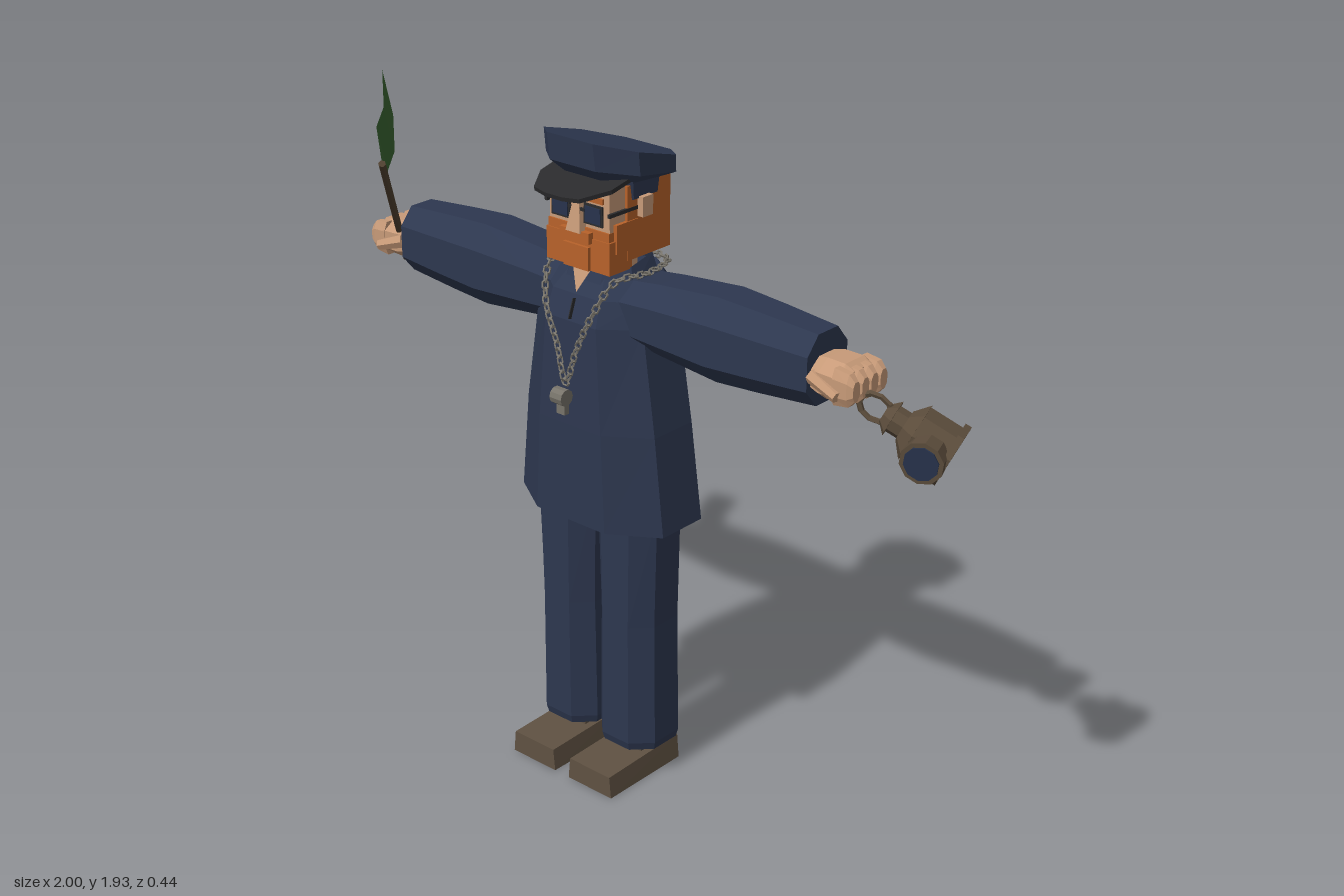
import * as THREE from 'three';

const mat = (name, color) => {
  const m = new THREE.MeshStandardMaterial({ color, flatShading: true, side: THREE.DoubleSide });
  m.name = name;
  return m;
};

// Eight-sided ring: y, centre x, front z, back z, half width, tilt (front up)
function ring(y, cx, front, back, hx, tilt = 0) {
  const cz = (front + back) / 2, hz = (front - back) / 2, c = 0.48;
  return [[1, -c], [1, c], [c, 1], [-c, 1], [-1, c], [-1, -c], [-c, -1], [c, -1]]
    .map(([x, z]) => [cx + x * hx, y + z * tilt, cz + z * hz]);
}

// Skin a stack of rings, with optional end caps
function loft(rings, caps = true) {
  const n = rings[0].length, idx = [], pos = rings.flat(2);
  for (let i = 0; i < rings.length - 1; i++) {
    for (let j = 0; j < n; j++) {
      const a = i * n + j, b = i * n + (j + 1) % n;
      idx.push(a, a + n, b, b, a + n, b + n);
    }
  }
  if (caps) {
    const t = (rings.length - 1) * n;
    for (let j = 1; j < n - 1; j++) idx.push(0, j, j + 1, t, t + j + 1, t + j);
  }
  const g = new THREE.BufferGeometry();
  g.setAttribute('position', new THREE.Float32BufferAttribute(pos, 3));
  g.setIndex(idx);
  const flat = g.toNonIndexed();
  flat.computeVertexNormals();
  return flat;
}

function add(parent, name, geo, material, x = 0, y = 0, z = 0) {
  const m = new THREE.Mesh(geo, material);
  m.name = name;
  m.position.set(x, y, z);
  parent.add(m);
  return m;
}

// Box given by its lower and upper limits
const box = (parent, name, m, x0, x1, y0, y1, z0, z1) =>
  add(parent, name, new THREE.BoxGeometry(x1 - x0, y1 - y0, z1 - z0), m, (x0 + x1) / 2, (y0 + y1) / 2, (z0 + z1) / 2);

// Tapered rod between two points
function rod(parent, name, m, a, b, r0, r1 = r0) {
  const A = new THREE.Vector3(...a), B = new THREE.Vector3(...b), d = B.clone().sub(A);
  const o = add(parent, name, new THREE.CylinderGeometry(r1, r0, d.length(), 6), m);
  o.position.copy(A).addScaledVector(d, 0.5);
  o.quaternion.setFromUnitVectors(new THREE.Vector3(0, 1, 0), d.normalize());
  return o;
}

export function createModel() {
  const root = new THREE.Group();
  const navy = mat('navy cloth', 0x2d374f), skin = mat('skin', 0xc79a78), orange = mat('ginger hair', 0xb8622a);
  const leather = mat('brown leather', 0x5f5142), black = mat('black', 0x2b2b2d), green = mat('flag green', 0x37602f);
  const steel = mat('chain steel', 0x77736a), glass = mat('dark glass', 0x28334c), wood = mat('dark wood', 0x4f4030);
  const lampMetal = mat('lantern metal', 0x5b4c3b);

  const man = new THREE.Group();
  man.name = 'man';
  man.position.x = -0.125;
  root.add(man);

  // Coat and collar
  add(man, 'coat', loft([ring(0.81, 0, 0.11, -0.225, 0.265), ring(1.1, 0, 0.108, -0.21, 0.235), ring(1.4, 0, 0.1, -0.2, 0.19),
    ring(1.47, 0, 0.075, -0.2, 0.178), ring(1.52, 0, 0.035, -0.175, 0.135)]), navy);
  add(man, 'collar', loft([ring(1.49, 0, 0.06, -0.17, 0.135, -0.01), ring(1.56, 0, 0.03, -0.145, 0.115, -0.02)], false), navy);
  add(man, 'neck', loft([ring(1.47, 0, 0.02, -0.12, 0.075), ring(1.6, 0, 0.02, -0.12, 0.075)]), skin);
  const vee = new THREE.Shape([new THREE.Vector2(-0.033, 0.06), new THREE.Vector2(0, -0.01), new THREE.Vector2(0.033, 0.06)]);
  add(man, 'openNeck', new THREE.ShapeGeometry(vee), skin, 0, 1.485, 0.073).rotation.x = -0.35;
  box(man, 'coatSeam', black, -0.0015, 0.0015, 1.405, 1.462, 0.083, 0.099).rotation.x = -0.35;

  for (const s of [1, -1]) {
    const side = s > 0 ? 'left' : 'right';
    // Trousers, ankles and shoes
    add(man, side + 'Trouser', loft([ring(0.095, s * 0.112, 0.045, -0.155, 0.098), ring(0.12, s * 0.112, 0.052, -0.162, 0.104),
      ring(0.5, s * 0.113, 0.052, -0.155, 0.1), ring(0.86, s * 0.115, 0.055, -0.15, 0.11)]), navy);
    box(man, side + 'Ankle', leather, s * 0.11 - 0.055, s * 0.11 + 0.055, 0.06, 0.11, -0.13, 0);
    const shoe = box(man, side + 'Shoe', leather, s * 0.11 - 0.083, s * 0.11 + 0.083, 0, 0.075, -0.137, 0.16);
    const p = shoe.geometry.attributes.position;
    for (let i = 0; i < p.count; i++) {
      if (p.getY(i) > 0) {
        p.setX(i, p.getX(i) * 0.92);
        if (p.getZ(i) > 0) p.setY(i, p.getY(i) - 0.008);
      }
    }
    // Sleeve and hand, built upright and then turned outwards
    const arm = new THREE.Group();
    arm.name = side + 'Arm';
    arm.position.y = 1.428;
    arm.rotation.z = -s * Math.PI / 2;
    man.add(arm);
    add(arm, 'sleeve', loft([ring(0.1, 0, 0.045, -0.165, 0.085), ring(0.22, 0, 0.045, -0.165, 0.1),
      ring(0.42, 0, 0.05, -0.165, 0.118), ring(0.56, 0, 0.04, -0.155, 0.11), ring(0.735, 0, 0.025, -0.14, 0.097)]), navy);
    const dn = s * 0.012;
    add(arm, 'palm', loft([ring(0.71, dn, 0.0, -0.11, 0.045), ring(0.765, dn, 0.02, -0.13, 0.056),
      ring(0.82, dn, 0.022, -0.135, 0.054), ring(0.845, dn, 0.015, -0.13, 0.04)]), skin);
    for (let f = 0; f < 4; f++) {
      const z = -0.112 + f * 0.038;
      add(arm, 'finger', loft([ring(0.81, dn, z + 0.021, z - 0.021, 0.05), ring(0.855, dn, z + 0.02, z - 0.02, 0.044),
        ring(0.872, dn, z + 0.014, z - 0.014, 0.026)]), skin);
    }
    rod(arm, 'thumb', skin, [dn - s * 0.01, 0.74, 0.01], [dn + s * 0.02, 0.83, 0.025], 0.022, 0.016);
    // Ear, sideburn, spectacle lens and temple
    box(man, side + 'Ear', skin, s * 0.122 - 0.012, s * 0.122 + 0.012, 1.685, 1.74, -0.08, -0.04);
    box(man, side + 'Sideburn', orange, s * 0.106 - 0.012, s * 0.106 + 0.012, 1.6, 1.68, -0.04, 0.045);
    box(man, side + 'LensFrame', black, s * 0.058 - 0.033, s * 0.058 + 0.033, 1.674, 1.73, 0.066, 0.071);
    box(man, side + 'Lens', glass, s * 0.058 - 0.027, s * 0.058 + 0.027, 1.68, 1.724, 0.07, 0.074);
    box(man, side + 'Temple', black, s * 0.112 - 0.004, s * 0.112 + 0.004, 1.705, 1.715, -0.05, 0.07);
    box(man, side + 'Brow', orange, s * 0.058 - 0.03, s * 0.058 + 0.03, 1.735, 1.75, 0.055, 0.067);
  }

  // Head
  box(man, 'hair', orange, -0.115, 0.115, 1.57, 1.775, -0.17, 0);
  box(man, 'face', skin, -0.107, 0.107, 1.62, 1.775, -0.02, 0.06);
  box(man, 'beard', orange, -0.113, 0.113, 1.545, 1.635, -0.02, 0.068);
  box(man, 'cheekBeard', orange, -0.108, 0.108, 1.63, 1.66, -0.02, 0.065);
  box(man, 'chin', orange, -0.045, 0.045, 1.545, 1.61, 0.06, 0.077);
  box(man, 'moustache', orange, -0.052, 0.052, 1.622, 1.652, 0.06, 0.082);
  box(man, 'spectacleBridge', black, -0.03, 0.03, 1.706, 1.714, 0.068, 0.074);
  const nose = new THREE.CylinderGeometry(0.015, 0.036, 0.085, 4).rotateY(Math.PI / 4);
  add(man, 'nose', nose, skin, 0, 1.69, 0.062);

  // Cap
  add(man, 'capBand', loft([ring(1.735, 0, 0.03, -0.165, 0.119), ring(1.8, 0, 0.045, -0.18, 0.122)]), navy);
  add(man, 'capCrown', loft([ring(1.782, 0, 0.045, -0.195, 0.13, 0.008), ring(1.806, 0, 0.085, -0.208, 0.168, 0.022),
    ring(1.862, 0, 0.095, -0.21, 0.168, 0.042)]), navy);
  const peak = new THREE.Shape([[-0.128, -0.02], [0.128, -0.02], [0.126, 0.05], [0.08, 0.125], [0.03, 0.137],
    [-0.03, 0.137], [-0.08, 0.125], [-0.126, 0.05]].map(([x, y]) => new THREE.Vector2(x, y)));
  const visor = new THREE.ExtrudeGeometry(peak, { depth: 0.012, bevelEnabled: false });
  add(man, 'capVisor', visor, black, 0, 1.797, 0.025).rotation.x = Math.PI / 2 + 0.22;

  // Whistle on a chain of links
  const half = [[0.035, 1.33, 0.116], [0.085, 1.44, 0.105], [0.118, 1.525, 0.055], [0.145, 1.532, -0.05], [0.115, 1.53, -0.16], [0.05, 1.525, -0.19]];
  const mirrored = half.map(([x, y, z]) => [-x, y, z]).reverse();
  const path = new THREE.CatmullRomCurve3([[0, 1.23, 0.122], ...half, ...mirrored].map(p => new THREE.Vector3(...p)), true);
  const link = new THREE.TorusGeometry(0.0095, 0.0033, 4, 6).scale(1.35, 1, 1);
  const count = 66;
  const chain = new THREE.Group();
  chain.name = 'chain';
  man.add(chain);
  for (let i = 0; i < count; i++) {
    const l = add(chain, 'link', link, steel);
    l.position.copy(path.getPointAt(i / count));
    l.quaternion.setFromUnitVectors(new THREE.Vector3(1, 0, 0), path.getTangentAt(i / count));
    l.rotateX((i % 2) * Math.PI / 2);
  }
  add(man, 'whistleBarrel', new THREE.CylinderGeometry(0.024, 0.024, 0.042, 10).rotateZ(Math.PI / 2), steel, 0, 1.195, 0.14);
  box(man, 'whistleMouthpiece', steel, -0.015, 0.015, 1.143, 1.195, 0.125, 0.143);

  // Signal flag
  const foot = [-0.965, 1.325, -0.085], tip = [-0.72, 1.735, 0.21];
  rod(root, 'flagPole', wood, foot, tip, 0.011);
  const wave = [[0, 0, 0], [-0.055, 0.085, -0.035], [-0.122, 0.108, -0.125], [-0.16, 0.2, -0.16]];
  const rows = [0.56, 1].map(t => wave.map(w => w.map((v, k) => foot[k] + (tip[k] - foot[k]) * t + v)));
  const cloth = new THREE.BufferGeometry();
  cloth.setAttribute('position', new THREE.Float32BufferAttribute(rows.flat(2), 3));
  cloth.setIndex([0, 1, 2].flatMap(i => [i, i + 4, i + 1, i + 1, i + 4, i + 5]));
  cloth.computeVertexNormals();
  add(root, 'flagCloth', cloth, green);

  // Hand lantern, upright in its own group with the lens facing its front
  const lantern = new THREE.Group();
  lantern.name = 'lantern';
  const up = new THREE.Vector3(-0.225, 0.115, 0.08).normalize();
  const right = up.clone().cross(new THREE.Vector3(0.2, 0, 1)).normalize();
  lantern.quaternion.setFromRotationMatrix(new THREE.Matrix4().makeBasis(right, up, right.clone().cross(up)));
  lantern.position.set(0.96, 1.265, -0.12);
  root.add(lantern);
  const drum = (name, r0, r1, y0, y1) =>
    add(lantern, name, new THREE.CylinderGeometry(r1, r0, y1 - y0, 8).rotateY(Math.PI / 8), lampMetal, 0, (y0 + y1) / 2, 0);
  drum('lanternBase', 0.086, 0.086, 0, 0.018);
  drum('lanternBody', 0.074, 0.074, 0.018, 0.11);
  drum('lanternShoulder', 0.08, 0.042, 0.11, 0.142);
  drum('lanternChimney', 0.037, 0.037, 0.142, 0.175);
  drum('lanternCap', 0.05, 0.025, 0.175, 0.2);
  add(lantern, 'lensHousing', new THREE.CylinderGeometry(0.058, 0.055, 0.055, 10).rotateX(Math.PI / 2), lampMetal, 0, 0.055, 0.08);
  add(lantern, 'lens', new THREE.CylinderGeometry(0.046, 0.046, 0.006, 10).rotateX(Math.PI / 2), glass, 0, 0.055, 0.109);
  add(lantern, 'lanternHandle', new THREE.TorusGeometry(0.036, 0.008, 5, 10).scale(1, 1.25, 1), lampMetal, 0, 0.226, 0);

  return root;
}
